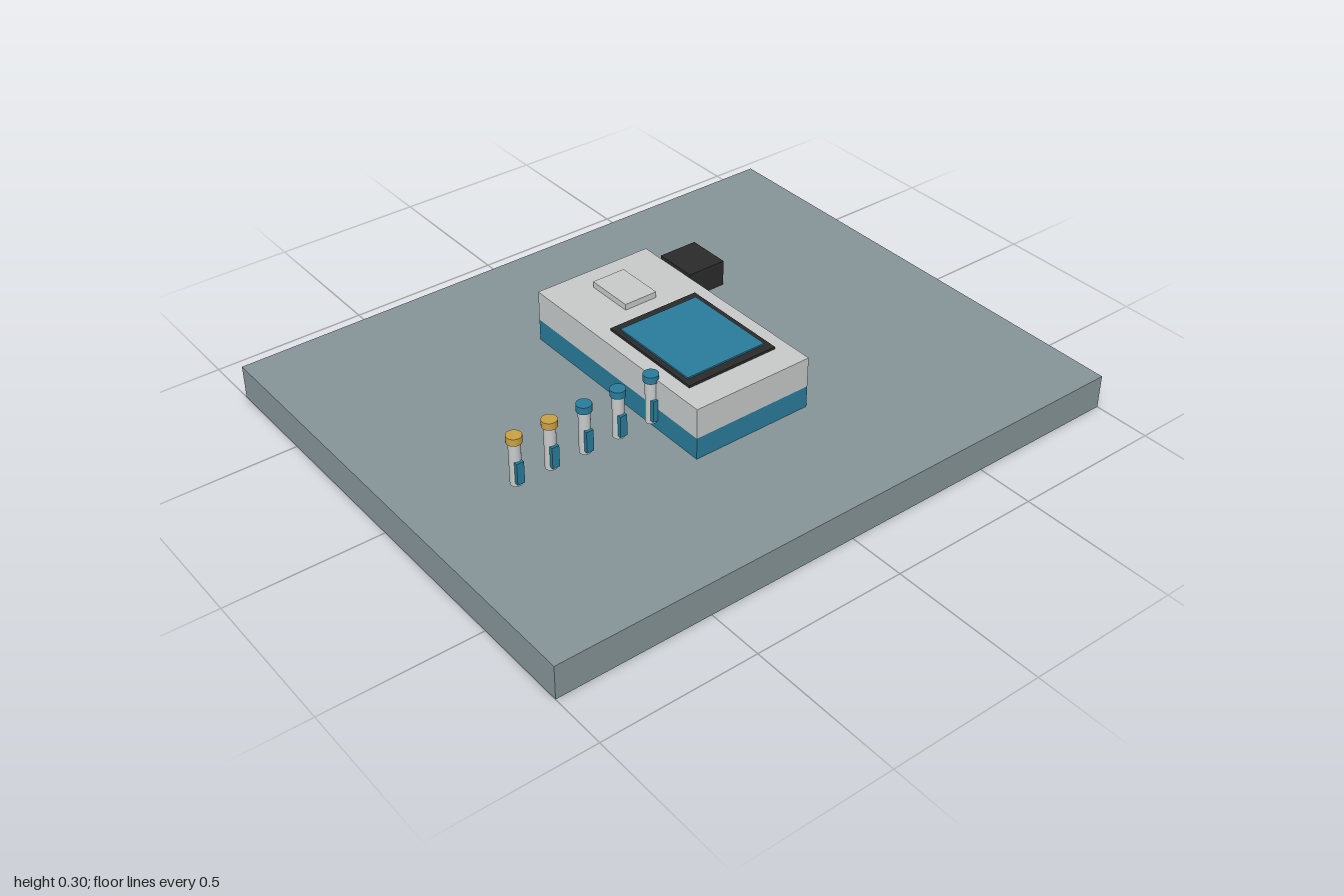
import * as THREE from 'three';

const mat = (name, color) => {
  const m = new THREE.MeshStandardMaterial({ color });
  m.name = name;
  return m;
};

export function createModel() {
  const slate = mat('slate grey', 0x869599);
  const shell = mat('light grey', 0xc8cbcb);
  const blue = mat('teal blue', 0x2a7c9c);
  const black = mat('charcoal', 0x2b2b2b);
  const gold = mat('gold', 0xcba243);

  const model = new THREE.Group();
  model.name = 'benchAnalyser';

  // Box given by its minimum and maximum on each axis
  function box(name, material, [x0, x1], [y0, y1], [z0, z1], parent = model) {
    const mesh = new THREE.Mesh(new THREE.BoxGeometry(x1 - x0, y1 - y0, z1 - z0), material);
    mesh.position.set((x0 + x1) / 2, (y0 + y1) / 2, (z0 + z1) / 2);
    mesh.name = name;
    parent.add(mesh);
  }
  function cylinder(name, material, radius, y0, y1, parent) {
    const mesh = new THREE.Mesh(new THREE.CylinderGeometry(radius, radius, y1 - y0, 24), material);
    mesh.position.y = (y0 + y1) / 2;
    mesh.name = name;
    parent.add(mesh);
  }

  box('benchTop', slate, [-1, 1], [0, 0.112], [-0.815, 0.815]);

  // Two-tone instrument body
  const device = new THREE.Group();
  device.name = 'instrument';
  model.add(device);
  box('lowerBody', blue, [-0.207, 0.203], [0.112, 0.184], [-0.384, 0.384], device);
  box('upperBody', shell, [-0.207, 0.203], [0.184, 0.284], [-0.384, 0.384], device);

  // Touch screen and sample lid
  box('screenFrame', black, [-0.16, 0.156], [0.284, 0.292], [-0.08, 0.29], device);
  box('screen', blue, [-0.143, 0.138], [0.292, 0.297], [-0.053, 0.262], device);
  box('sampleLid', shell, [-0.06, 0.055], [0.284, 0.304], [-0.303, -0.14], device);

  // Sockets on the back
  box('powerSocket', black, [0.096, 0.147], [0.182, 0.217], [-0.4, -0.384], device);
  box('networkSocket', shell, [-0.028, 0.022], [0.185, 0.207], [-0.4, -0.384], device);
  box('dataSocket', shell, [-0.092, -0.068], [0.187, 0.204], [-0.4, -0.384], device);

  box('powerSupply', black, [0.298, 0.435], [0.112, 0.2], [-0.43, -0.281]);

  // Row of capped sample tubes with front labels
  for (let i = 0; i < 5; i++) {
    const tube = new THREE.Group();
    tube.name = 'sampleTube' + (i + 1);
    tube.position.set(-0.679 + i * 0.1168, 0, 0.181);
    cylinder('tubeBody', shell, 0.018, 0.132, 0.276, tube);
    cylinder('tubeCap', i < 2 ? gold : blue, 0.0235, 0.274, 0.297, tube);
    box('tubeLabel', blue, [-0.012, 0.012], [0.144, 0.216], [0.012, 0.026], tube);
    model.add(tube);
  }
  return model;
}
